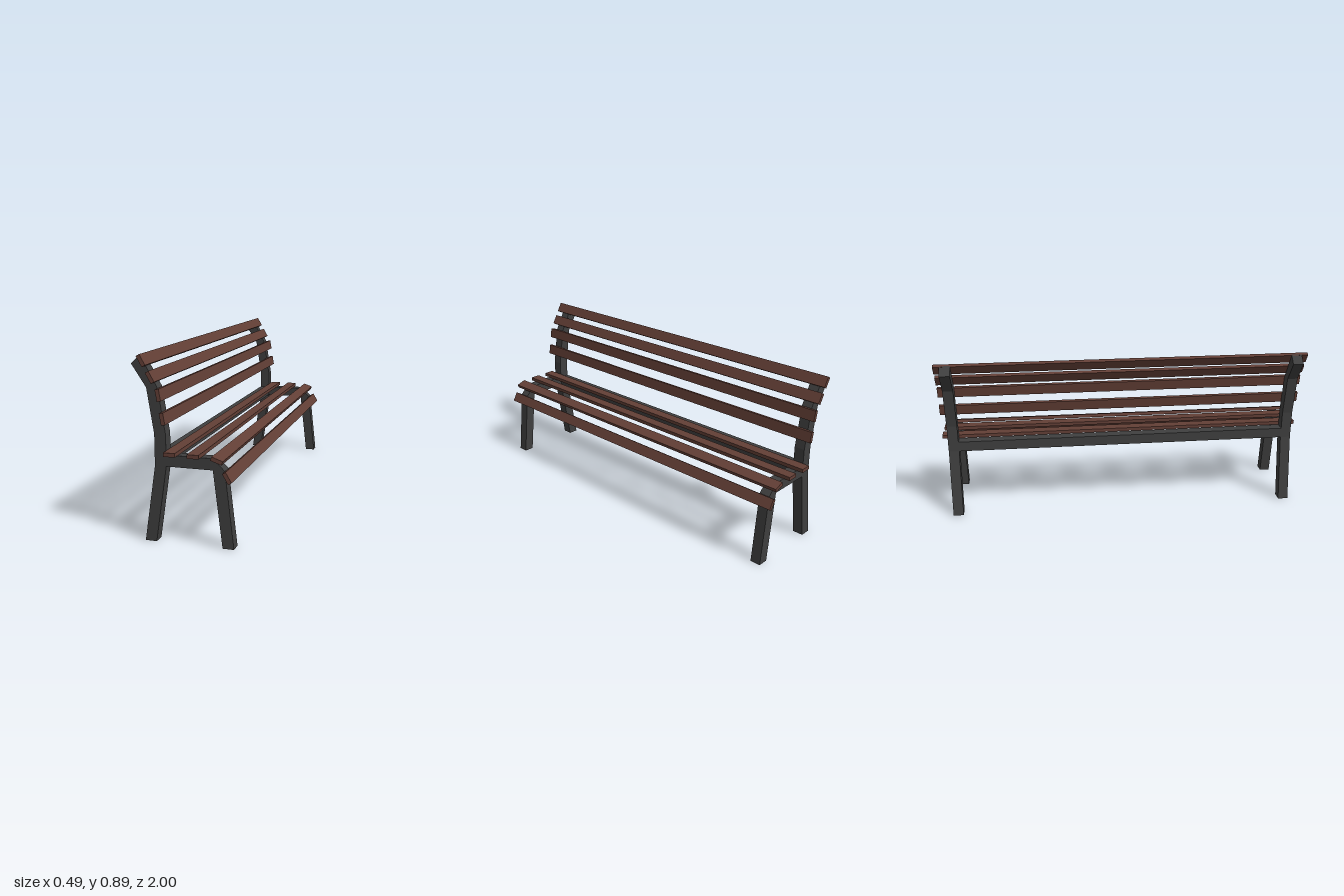
import * as THREE from 'three';

const LENGTH = 2, SLAT_WIDTH = 0.056, SLAT_THICK = 0.019;
const FRAME_THICK = 0.056, FRAME_Z = 0.937;

export function createModel() {
  const bench = new THREE.Group();
  bench.name = 'bench';
  const metal = new THREE.MeshStandardMaterial({ color: 0x3f3f3f, flatShading: true });
  const wood = new THREE.MeshStandardMaterial({ color: 0x633f36, flatShading: true });

  const add = (name, geometry, material, x, y, z, angle = 0) => {
    const mesh = new THREE.Mesh(geometry, material);
    mesh.name = name;
    mesh.position.set(x, y, z);
    mesh.rotation.z = THREE.MathUtils.degToRad(angle);
    bench.add(mesh);
  };

  // End frames: both legs, seat bearer and bent back post in one outline
  const outline = [
    [-0.195, 0], [-0.139, 0], [-0.083, 0.37], [0.143, 0.37], [0.187, 0], [0.242, 0],
    [0.2, 0.37], [0.143, 0.425], [-0.083, 0.425], [-0.083, 0.52], [-0.118, 0.735],
    [-0.2, 0.884], [-0.245, 0.842], [-0.173, 0.735], [-0.139, 0.52], [-0.139, 0.37],
  ].map(([x, y]) => new THREE.Vector2(x, y));
  const frame = new THREE.ExtrudeGeometry(new THREE.Shape(outline), { depth: FRAME_THICK, bevelEnabled: false });
  frame.translate(0, 0, -FRAME_THICK / 2);
  add('frontFrame', frame, metal, 0, 0, FRAME_Z);
  add('rearFrame', frame, metal, 0, 0, -FRAME_Z);

  // Long rail joining the frames under the back of the seat
  const rail = new THREE.BoxGeometry(0.056, 0.055, 2 * FRAME_Z - FRAME_THICK);
  add('crossRail', rail, metal, -0.111, 0.3975, 0);

  // Slats: centre x, centre y, tilt in degrees
  const slat = new THREE.BoxGeometry(SLAT_WIDTH, SLAT_THICK, LENGTH);
  const seat = [[-0.055, 0.435, 0], [0.059, 0.435, 0], [0.172, 0.425, -19], [0.22, 0.348, -60]];
  const back = [[-0.085, 0.599, -80], [-0.103, 0.707, -80], [-0.14, 0.787, -60], [-0.182, 0.861, -60]];
  seat.forEach(([x, y, a], i) => add(`seatSlat${i + 1}`, slat, wood, x, y, 0, a));
  back.forEach(([x, y, a], i) => add(`backSlat${i + 1}`, slat, wood, x, y, 0, a));

  return bench;
}
